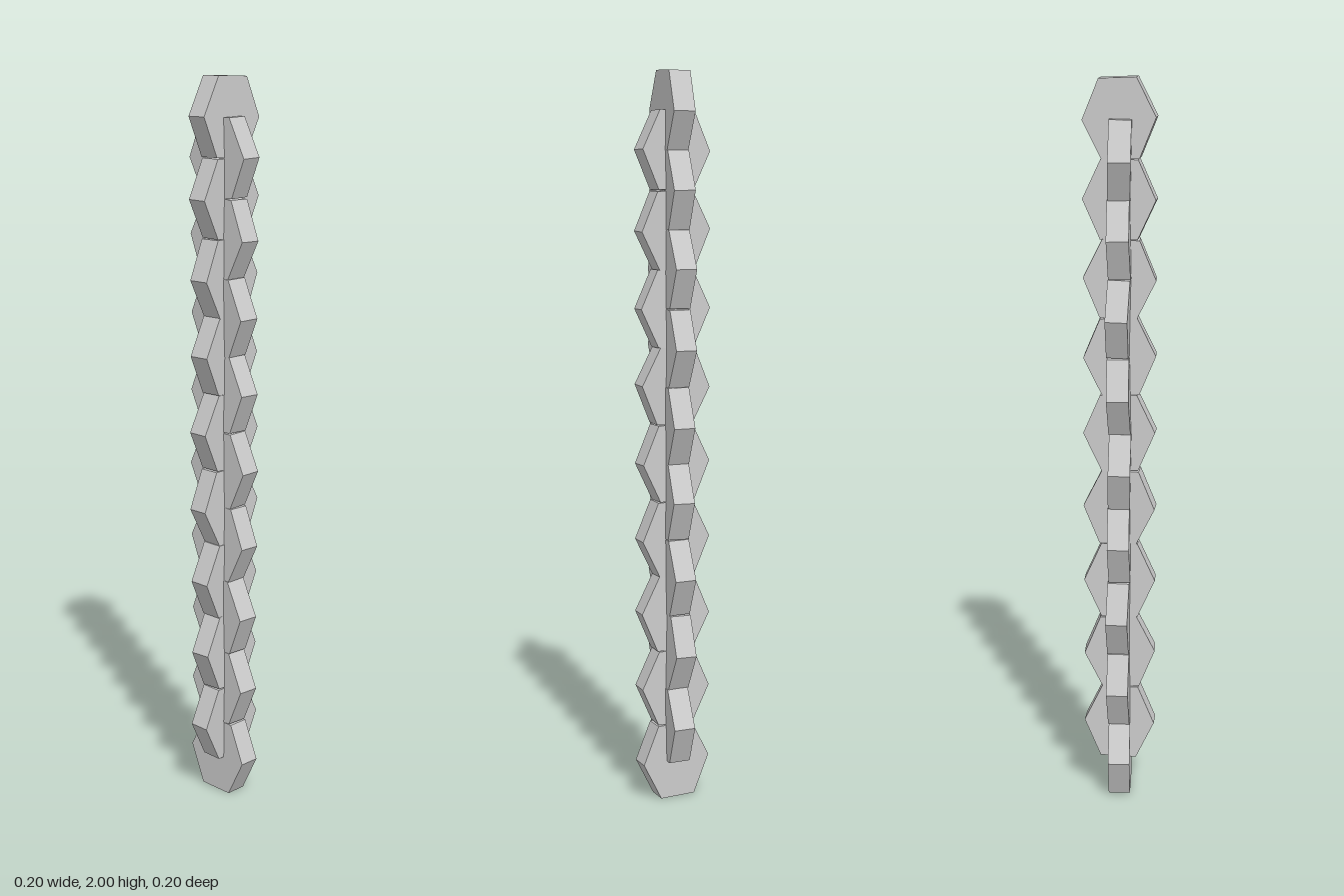
import * as THREE from 'three';

// Chain of solid six-sided links, each turned a quarter from the one below
export function createModel() {
  const group = new THREE.Group();
  group.name = 'chain';
  const material = new THREE.MeshStandardMaterial({ color: 0xcccccc, flatShading: true });

  const count = 18, halfHeight = 0.105, halfWidth = 0.098, endHalf = 0.05, depth = 0.06;
  const step = (2 - 2 * halfHeight) / (count - 1);

  // Link outline: flat ends, pointed sides
  const outline = new THREE.Shape([
    [endHalf, -halfHeight], [halfWidth, 0], [endHalf, halfHeight],
    [-endHalf, halfHeight], [-halfWidth, 0], [-endHalf, -halfHeight],
  ].map(([x, y]) => new THREE.Vector2(x, y)));
  const geometry = new THREE.ExtrudeGeometry(outline, { depth, bevelEnabled: false });
  geometry.translate(0, 0, -depth / 2);

  for (let i = 0; i < count; i++) {
    const link = new THREE.Mesh(geometry, material);
    link.name = `link${i + 1}`;
    link.position.y = halfHeight + i * step;
    // Slight uneven hang of every link
    link.rotation.order = 'YXZ';
    link.rotation.y = (i % 2) * Math.PI / 2 + 0.04 * Math.sin(i * 2.4 + 1);
    link.rotation.x = 0.02 * Math.sin(i * 1.7);
    link.rotation.z = -0.04 * Math.cos(i * 4.07);
    group.add(link);
  }

  // Stand on the ground
  group.updateMatrixWorld(true);
  const box = new THREE.Box3().setFromObject(group, true);
  group.children.forEach((link) => { link.position.y -= box.min.y; });
  return group;
}
